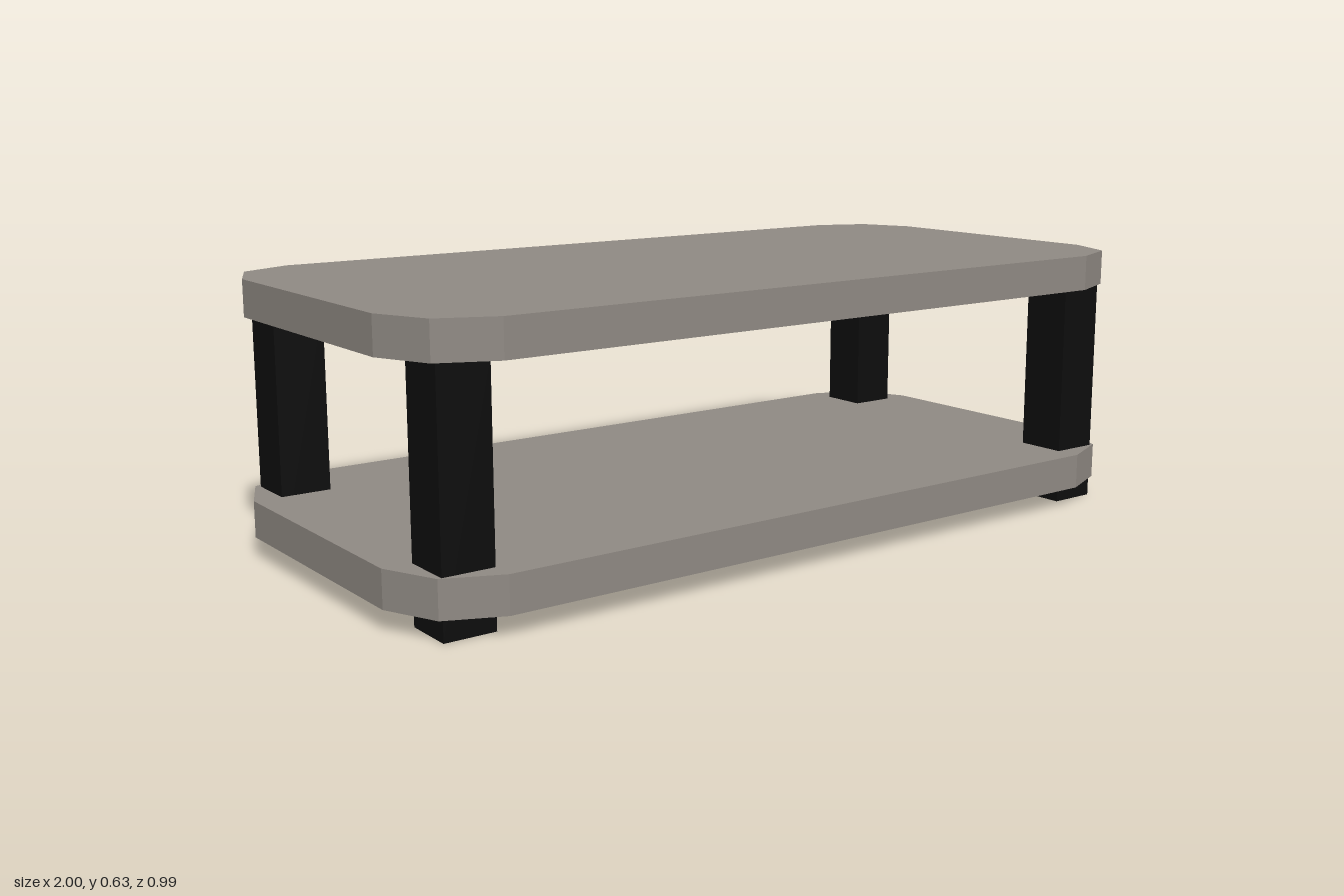
import * as THREE from 'three';

const wood = new THREE.MeshStandardMaterial({ name: 'greyWood', color: 0x8f8983 });
const black = new THREE.MeshStandardMaterial({ name: 'blackLeg', color: 0x0d0d0d });

// Rectangle outline whose corners are rounded with two facets each
function boardShape() {
  const corner = [[1, 0.315], [0.945, 0.44], [0.82, 0.495]];
  const flipped = [...corner].reverse();
  const points = [
    ...corner,
    ...flipped.map(([x, y]) => [-x, y]),
    ...corner.map(([x, y]) => [-x, -y]),
    ...flipped.map(([x, y]) => [x, -y]),
  ];
  return new THREE.Shape(points.map(([x, y]) => new THREE.Vector2(x, y)));
}

export function createModel() {
  const group = new THREE.Group();
  group.name = 'coffeeTable';

  // Table top and lower shelf share one board
  const thickness = 0.084;
  const boardGeometry = new THREE.ExtrudeGeometry(boardShape(), { depth: thickness, bevelEnabled: false });
  boardGeometry.rotateX(-Math.PI / 2);
  for (const [name, y] of [['lowerShelf', 0.047], ['tableTop', 0.546]]) {
    const board = new THREE.Mesh(boardGeometry, wood);
    board.name = name;
    board.position.y = y;
    group.add(board);
  }

  // Square legs run from the floor through the shelf to the table top
  const legHeight = 0.546;
  const legGeometry = new THREE.BoxGeometry(0.118, legHeight, 0.12);
  for (const [side, x] of [['Left', 0.873], ['Right', -0.877]]) {
    for (const [end, z] of [['front', 0.38], ['back', -0.37]]) {
      const leg = new THREE.Mesh(legGeometry, black);
      leg.name = `${end}${side}Leg`;
      leg.position.set(x, legHeight / 2, z);
      group.add(leg);
    }
  }
  return group;
}
